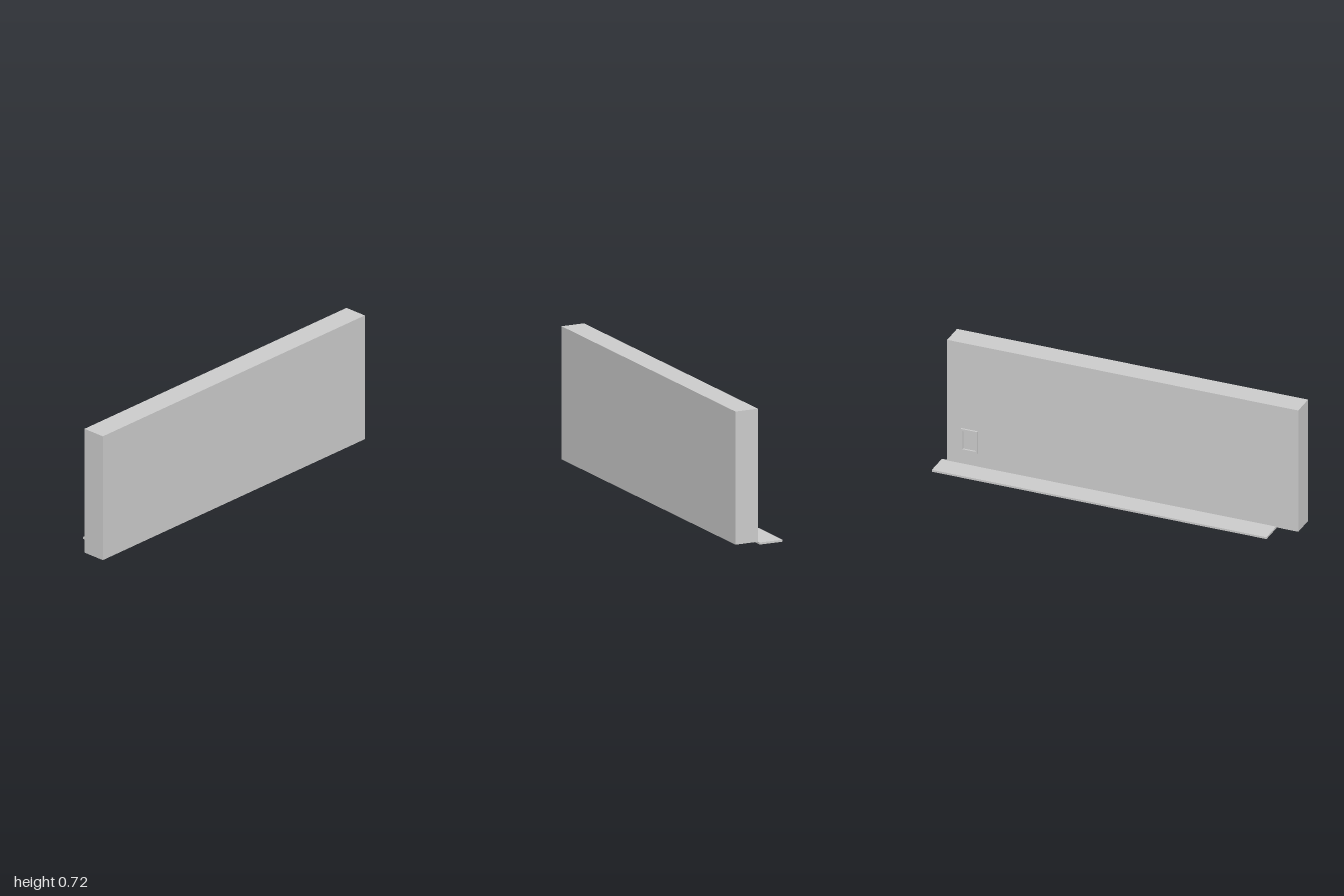
import * as THREE from 'three';

const material = new THREE.MeshStandardMaterial({ color: 0xcccccc, flatShading: true });

// Box given by its minimum and maximum corners
function block(name, [x0, y0, z0], [x1, y1, z1]) {
  const mesh = new THREE.Mesh(new THREE.BoxGeometry(x1 - x0, y1 - y0, z1 - z0), material);
  mesh.name = name;
  mesh.position.set((x0 + x1) / 2, (y0 + y1) / 2, (z0 + z1) / 2);
  return mesh;
}

// Counter-clockwise rectangle corners
const corners = (x0, y0, x1, y1) =>
  [[x0, y0], [x1, y0], [x1, y1], [x0, y1]].map(([x, y]) => new THREE.Vector2(x, y));

export function createModel() {
  const group = new THREE.Group();
  group.name = 'wallPanel';

  // Main slab and the thin ledge along its back foot
  group.add(block('panel', [-1, 0.007, -0.002], [0.968, 0.716, 0.128]));
  group.add(block('ledge', [-0.876, 0, -0.128], [1, 0.011, 0.004]));

  // Small raised open frame on the back
  const border = 0.011;
  const [x0, y0, x1, y1] = [0.795, 0.089, 0.888, 0.217];
  const shape = new THREE.Shape(corners(x0, y0, x1, y1));
  shape.holes.push(new THREE.Path(corners(x0 + border, y0 + border, x1 - border, y1 - border).reverse()));
  const frame = new THREE.Mesh(
    new THREE.ExtrudeGeometry(shape, { depth: 0.01, bevelEnabled: false }), material);
  frame.name = 'backFrame';
  frame.position.z = -0.012;
  group.add(frame);

  return group;
}
